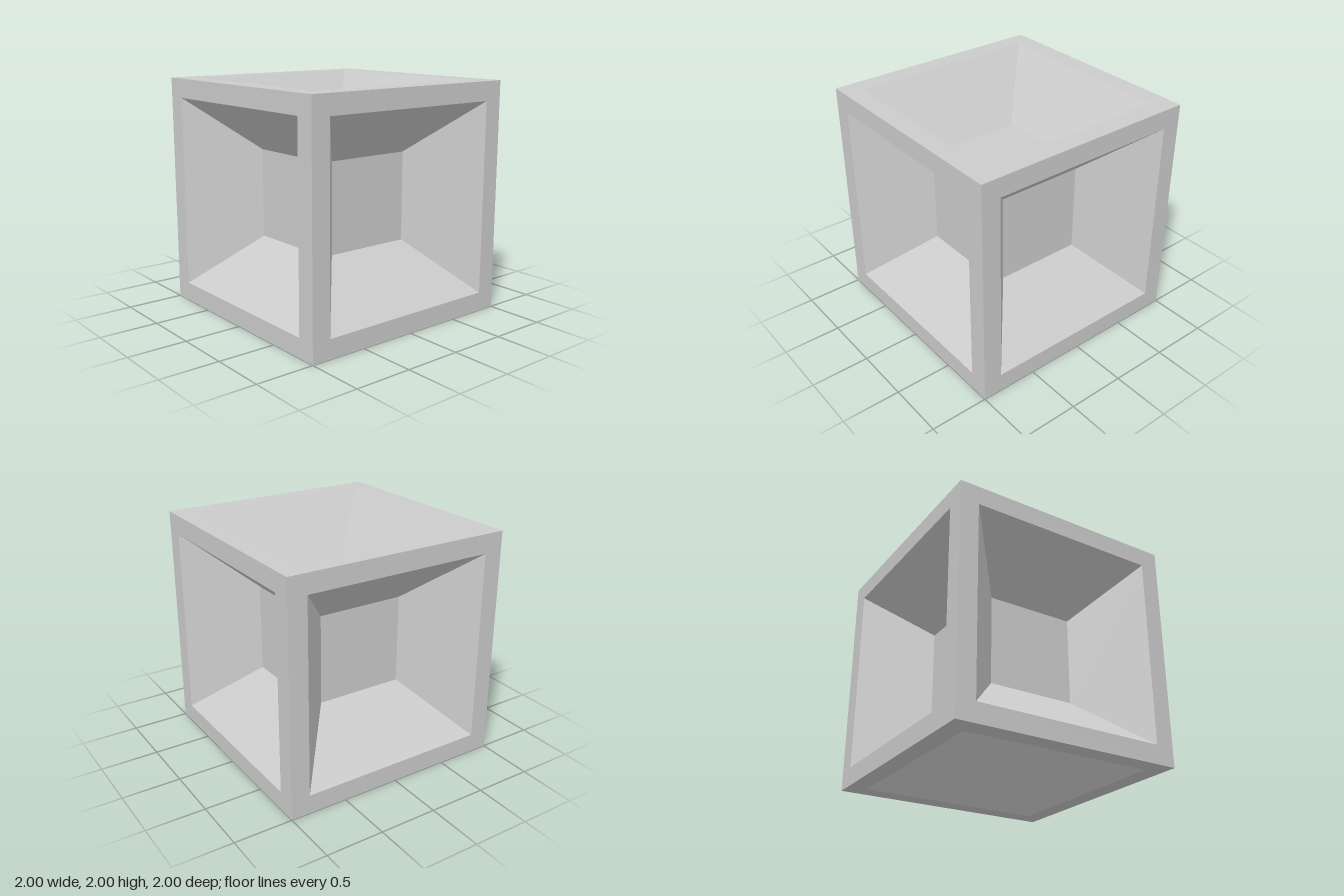
import * as THREE from 'three';

const OUTER = 1;       // half size of the cube
const RIM = 0.835;     // half width of each opening
const FLOOR = 0.39;    // half width of each recess floor
const FLOOR_Y = 0.47;  // distance of the recess floor from the centre

export function createModel() {
  const group = new THREE.Group();
  group.name = 'recessedCube';
  const material = new THREE.MeshStandardMaterial({ color: 0xcccccc, flatShading: true });

  // One side facing up: flat rim, four sloping walls and a square floor,
  // turned as a four-sided lathe whose radii reach the corners
  const profile = [[OUTER, 1], [RIM, 1], [FLOOR, FLOOR_Y], [0, FLOOR_Y]]
    .map(([half, y]) => new THREE.Vector2(half * Math.SQRT2, y));
  const side = new THREE.LatheGeometry(profile, 4, Math.PI / 4).toNonIndexed();
  side.computeVertexNormals();

  // The same side turned to all six directions
  const q = Math.PI / 2;
  const turns = {
    topSide: [0, 0], bottomSide: [2 * q, 0],
    frontSide: [q, 0], backSide: [-q, 0],
    leftSide: [0, -q], rightSide: [0, q],
  };
  for (const [name, [rx, rz]] of Object.entries(turns)) {
    const mesh = new THREE.Mesh(side, material);
    mesh.name = name;
    mesh.rotation.set(rx, 0, rz);
    mesh.position.y = OUTER;
    group.add(mesh);
  }
  return group;
}
